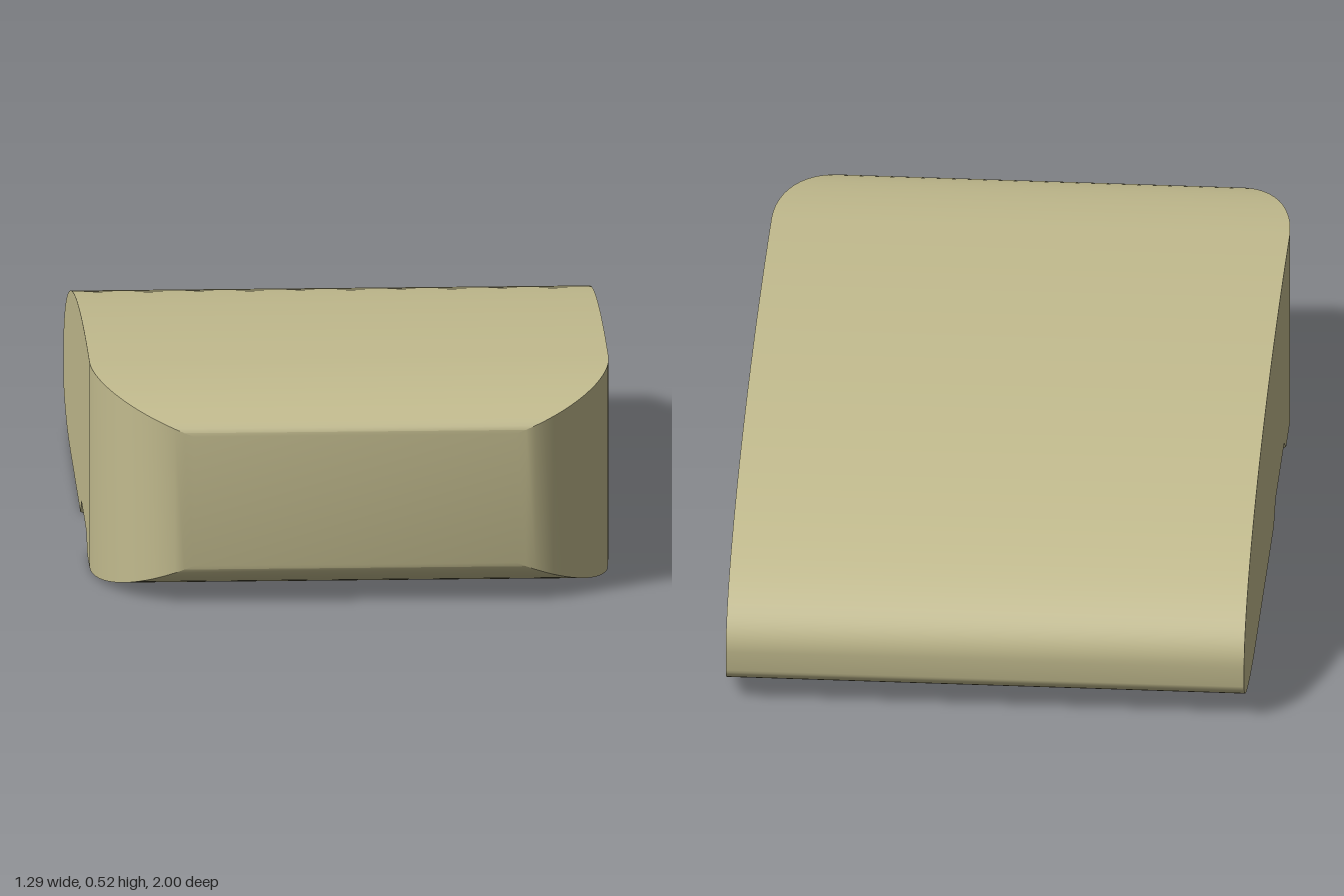
import * as THREE from 'three';
import { toCreasedNormals } from 'three/addons/utils/BufferGeometryUtils.js';

const quarter = (u) => Math.sqrt(Math.max(0, 1 - u * u)); // quarter ellipse
const ramp = (z, a, b) => Math.min(1, Math.max(0, (z - a) / (b - a)));

// Half width, top and bottom of the body at a given z
const frontEase = (z) => quarter(Math.max(0, (z - 0.6) / 0.4));
const halfWidth = (z) => 0.4 + 0.245 * frontEase(z);
const topY = (z) => z > 0.6
  ? 0.43 + 0.095 * frontEase(z)
  : 0.14 + 0.385 * quarter(Math.max(0, (0.5 - z) / 1.5));
const bottomY = (z) => z > 0.6
  ? 0.1 * (1 - frontEase(z))
  : 0.09 * (1 - quarter(Math.max(0, (-0.6 - z) / 0.4)));

// Shallow finger reliefs under the two long edges: 0 to 1 along z
const leftRelief = (z) => (z > 0.61 ? 1 - ramp(z, 0.61, 0.69) : ramp(z, -0.72, 0.61));
const rightRelief = (z) => ramp(z, 0.05, 0.11) * (1 - ramp(z, 0.41, 0.48));

// Six-point cross-section, counter-clockwise seen from the front
function section(z) {
  const w = halfWidth(z), t = topY(z), b = bottomY(z);
  const l = leftRelief(z), r = rightRelief(z);
  return [
    [-w + 0.045 * r, b], [w - 0.03 * Math.min(1, l * 3), b], [w, b + 0.055 * l],
    [w, t], [-w, t], [-w, b + 0.045 * r],
  ].map(([x, y]) => new THREE.Vector3(x, y, z));
}

// Stations crowd towards both rounded ends
function stations() {
  const zs = [0.05, 0.11, 0.41, 0.48, 0.61, 0.65, 0.69, -0.72, -0.275];
  for (let i = 0; i <= 40; i++) zs.push(0.5 - 1.5 * Math.sin((i / 40) * Math.PI / 2));
  for (let i = 0; i <= 16; i++) zs.push(0.6 + 0.4 * Math.sin((i / 16) * Math.PI / 2));
  return zs.sort((a, b) => a - b).filter((z, i, all) => i === 0 || z - all[i - 1] > 1e-4);
}

function bodyGeometry() {
  const pos = [];
  const tri = (a, b, c) => {
    const area = b.clone().sub(a).cross(c.clone().sub(a)).length();
    if (area > 1e-9) for (const p of [a, b, c]) pos.push(p.x, p.y, p.z);
  };
  const rings = stations().map(section);
  for (let i = 0; i < rings.length - 1; i++) {
    const back = rings[i], front = rings[i + 1];
    for (let j = 0; j < 6; j++) {
      const k = (j + 1) % 6;
      tri(back[j], back[k], front[k]);
      tri(back[j], front[k], front[j]);
    }
  }
  // Flat front face and narrow flat tail
  const first = rings[0], last = rings[rings.length - 1];
  for (let j = 1; j < 5; j++) {
    tri(first[0], first[j + 1], first[j]);
    tri(last[0], last[j], last[j + 1]);
  }
  const geometry = new THREE.BufferGeometry();
  geometry.setAttribute('position', new THREE.Float32BufferAttribute(pos, 3));
  return toCreasedNormals(geometry, 0.5);
}

export function createModel() {
  const group = new THREE.Group();
  const khaki = new THREE.MeshStandardMaterial({ color: 0xc2bb8e });
  khaki.name = 'khaki';
  const body = new THREE.Mesh(bodyGeometry(), khaki);
  body.name = 'body';
  group.add(body);
  return group;
}
